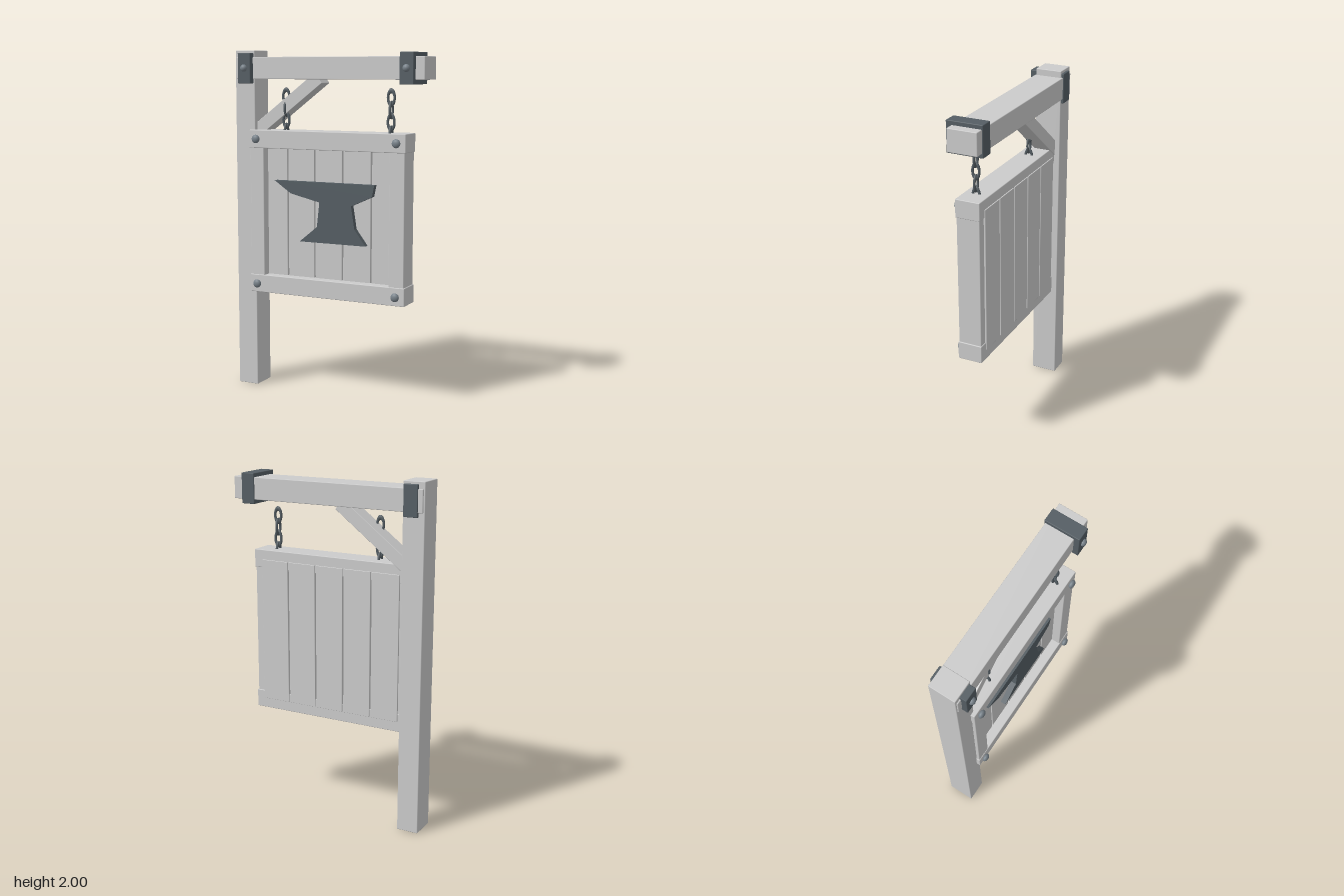
import * as THREE from 'three';
import { RoundedBoxGeometry } from 'three/addons/geometries/RoundedBoxGeometry.js';

const wood = new THREE.MeshStandardMaterial({ color: 0xcccccc });
const iron = new THREE.MeshStandardMaterial({ color: 0x555e64 });
const steel = new THREE.MeshStandardMaterial({ color: 0x78828a });

export function createModel() {
  const model = new THREE.Group();

  function add(name, geometry, material, parent = model) {
    const mesh = new THREE.Mesh(geometry, material);
    mesh.name = name;
    parent.add(mesh);
    return mesh;
  }

  // Slightly chamfered block given by its extents on each axis
  function block(name, [x0, x1], [y0, y1], [z0, z1], material = wood, parent = model, bevel = 0.004) {
    const mesh = add(name, new RoundedBoxGeometry(x1 - x0, y1 - y0, z1 - z0, 1, bevel), material, parent);
    mesh.position.set((x0 + x1) / 2, (y0 + y1) / 2, (z0 + z1) / 2);
    return mesh;
  }

  function rivet(name, x, y, z, r, depth) {
    const mesh = add(name, new THREE.SphereGeometry(r, 16, 10), steel);
    mesh.scale.z = depth / r;
    mesh.position.set(x, y, z);
  }

  // Post, arm and diagonal brace
  block('post', [-0.597, -0.469], [0, 2], [-0.103, 0.053]);
  block('beam', [-0.588, 0.59], [1.835, 1.962], [-0.112, 0.06]);
  const brace = add('brace', new RoundedBoxGeometry(0.6, 0.075, 0.102, 1, 0.003), wood);
  brace.rotation.z = 0.65;
  brace.position.set(-0.307, 1.662, -0.022);

  // Iron bands around the arm, each with a rivet
  for (const [side, x0, x1] of [['post', -0.56, -0.477], ['end', 0.455, 0.537]]) {
    block(side + 'Band', [x0, x1], [1.81, 1.985], [-0.118, 0.092], iron);
    rivet(side + 'BandRivet', (x0 + x1) / 2, 1.898, 0.094, 0.021, 0.018);
  }

  // Sign frame: rails overhang the stiles a little
  const frame = new THREE.Group();
  frame.name = 'signFrame';
  model.add(frame);
  block('topRail', [-0.497, 0.49], [1.437, 1.542], [-0.068, 0.077], wood, frame);
  block('bottomRail', [-0.497, 0.49], [0.58, 0.685], [-0.068, 0.077], wood, frame);
  block('rightStile', [-0.492, -0.403], [0.65, 1.47], [-0.064, 0.073], wood, frame);
  block('leftStile', [0.392, 0.484], [0.65, 1.47], [-0.064, 0.073], wood, frame);

  // Planks, set back in front and lapping over the rear of the frame
  const planks = new THREE.Group();
  planks.name = 'planks';
  model.add(planks);
  const seams = [-0.447, -0.271, -0.095, 0.083, 0.262, 0.44];
  for (let i = 0; i < 5; i++) {
    block('plank', [seams[i] + 0.004, seams[i + 1] - 0.004], [0.64, 1.485], [-0.074, 0.02], wood, planks, 0.002);
  }

  // Anvil emblem
  const outline = [
    [-0.342, 1.25], [-0.236, 1.178], [-0.05, 1.135], [-0.066, 0.992], [-0.178, 0.9],
    [0.241, 0.9], [0.172, 0.992], [0.151, 1.125], [0.28, 1.183], [0.294, 1.25],
  ].map(([x, y]) => new THREE.Vector2(x, y));
  const anvil = add('anvil', new THREE.ExtrudeGeometry(new THREE.Shape(outline),
    { depth: 0.035, bevelEnabled: false }), iron);
  anvil.position.z = 0.017;

  // Rivets on the frame corners
  for (const x of [-0.447, 0.438]) {
    for (const y of [0.632, 1.49]) rivet('cornerRivet', x, y, 0.088, 0.025, 0.016);
  }

  // Chains: oval links turned a quarter from one to the next
  const linkGeometry = new THREE.TorusGeometry(0.02, 0.0075, 8, 20);
  linkGeometry.scale(1, 1.9, 1);
  for (const [name, x] of [['rightChain', -0.284], ['leftChain', 0.375]]) {
    const chain = new THREE.Group();
    chain.name = name;
    chain.position.set(x, 0, 0.01);
    model.add(chain);
    for (let i = 0; i < 4; i++) {
      const link = add('link', linkGeometry, iron, chain);
      link.position.y = 1.737 - i * 0.068;
      link.rotation.y = (i % 2) * Math.PI / 2;
    }
  }

  return model;
}
